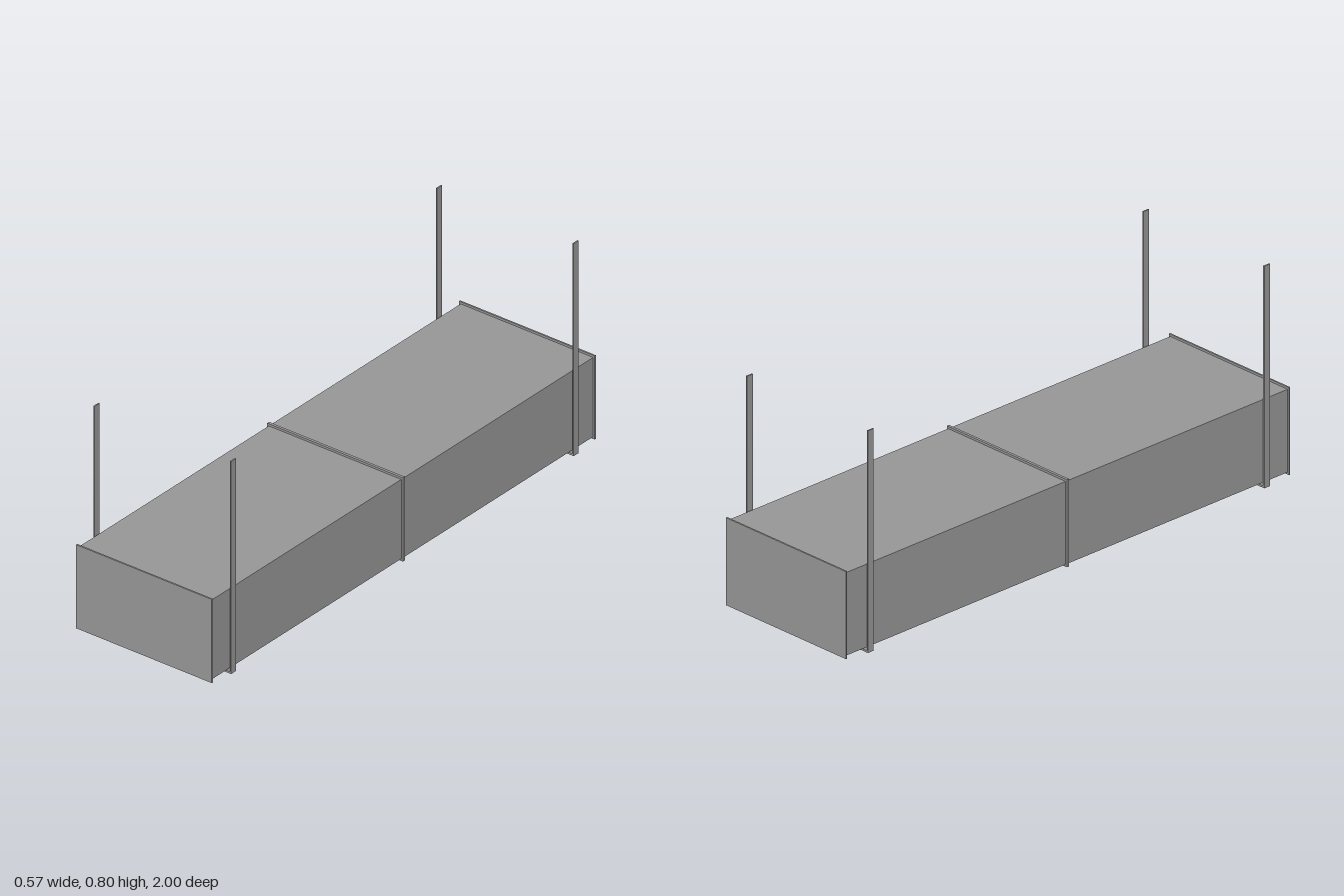
import * as THREE from 'three';

export function createModel() {
  const model = new THREE.Group();
  model.name = 'hangingDuct';
  const steel = new THREE.MeshStandardMaterial({ color: 0x969696 });
  steel.name = 'galvanised grey';

  // Box given by its size and centre
  const box = (name, w, h, d, x, y, z, parent = model) => {
    const mesh = new THREE.Mesh(new THREE.BoxGeometry(w, h, d), steel);
    mesh.name = name;
    mesh.position.set(x, y, z);
    parent.add(mesh);
  };

  // Two duct sections, meeting at the middle joint
  const bottom = 0.016, top = 0.315;
  for (const s of [1, -1]) {
    box(s > 0 ? 'frontDuct' : 'backDuct', 0.55, top - bottom, 0.992, 0, (top + bottom) / 2, s * 0.499);
  }

  // Flanges at both ends and a double one at the joint
  const flangeY = (0.008 + 0.323) / 2, flangeH = 0.323 - 0.008;
  box('frontFlange', 0.563, flangeH, 0.006, 0, flangeY, 0.997);
  box('backFlange', 0.563, flangeH, 0.006, 0, flangeY, -0.997);
  box('jointFlange', 0.563, flangeH, 0.01, 0, flangeY, 0);

  // U-shaped hangers: two long straps and a cross strap under the duct
  for (const s of [1, -1]) {
    const hanger = new THREE.Group();
    hanger.name = s > 0 ? 'frontHanger' : 'backHanger';
    hanger.position.z = s * 0.892;
    for (const side of [1, -1]) {
      box(side > 0 ? 'leftStrap' : 'rightStrap', 0.005, 0.8, 0.026, side * 0.2835, 0.4, 0, hanger);
    }
    box('crossStrap', 0.562, 0.007, 0.026, 0, 0.0035, 0, hanger);
    model.add(hanger);
  }
  return model;
}
